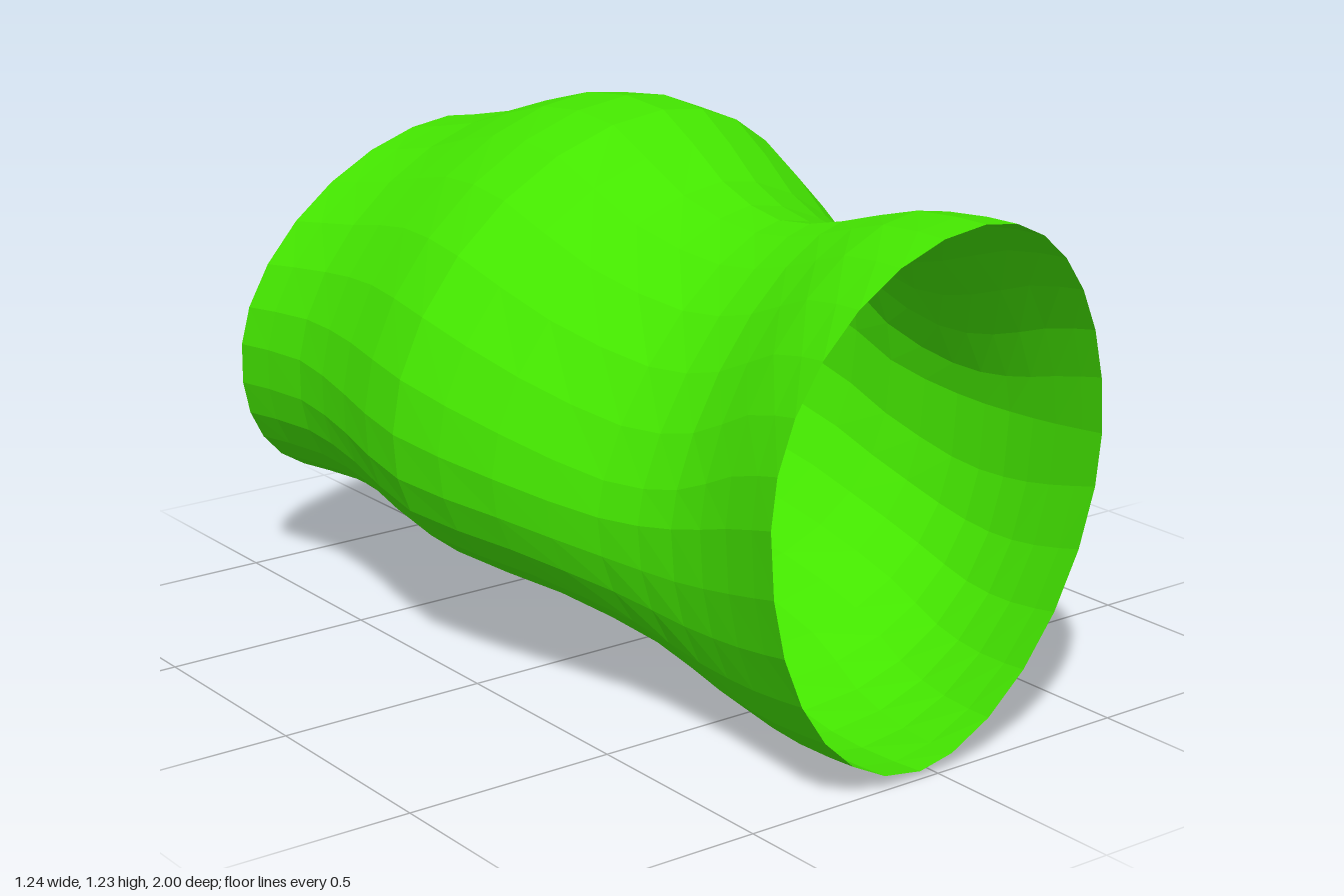
import * as THREE from 'three';

const RINGS = 16, SIDES = 28;

// Cross-sections from front to back:
// z, xMin, xMax, yMin, yMax, y of xMin, y of xMax, x of yMin, x of yMax,
// then roundness of the four quarters (+x top, -x top, -x bottom, +x bottom)
const SECTIONS = [
  [1.00, -0.462, 0.445, 0.02, 1.18, 0.64, 0.67, -0.05, 0.09, 2.15, 1.88, 2.1, 1.75],
  [0.80, -0.418, 0.505, 0.002, 1.172, 0.58, 0.63, -0.04, 0.08, 1.9, 1.78, 2.15, 1.98],
  [0.60, -0.405, 0.555, 0.02, 1.115, 0.52, 0.6, -0.04, 0.05, 1.68, 1.53, 2.08, 2.25],
  [0.40, -0.45, 0.578, 0.088, 1.08, 0.5, 0.59, -0.03, 0.04, 1.62, 1.52, 1.98, 2.5],
  [0.15, -0.552, 0.592, 0.155, 1.115, 0.54, 0.61, -0.05, 0.08, 1.78, 1.72, 2.08, 2.38],
  [-0.15, -0.62, 0.62, 0.188, 1.225, 0.58, 0.68, -0.1, 0.13, 2.08, 1.83, 2.3, 2.28],
  [-0.45, -0.575, 0.582, 0.235, 1.225, 0.6, 0.66, -0.15, 0.11, 2.05, 1.82, 2.32, 2.28],
  [-0.70, -0.55, 0.47, 0.23, 1.15, 0.62, 0.62, -0.17, 0.04, 1.95, 1.8, 2.25, 2.3],
  [-0.92, -0.59, 0.41, 0.22, 1.11, 0.62, 0.58, -0.2, 0, 1.9, 1.8, 2.2, 2.35],
];

// Smooth section at t in 0..1 (Catmull-Rom on every column)
function sectionAt(t) {
  const last = SECTIONS.length - 1;
  const i = Math.min(Math.floor(t * last), last - 1);
  const f = t * last - i;
  const row = (k) => SECTIONS[THREE.MathUtils.clamp(k, 0, last)];
  return SECTIONS[0].map((_, c) => {
    const [a, b, d, e] = [row(i - 1)[c], row(i)[c], row(i + 1)[c], row(i + 2)[c]];
    return b + 0.5 * f * (d - a + f * (2 * a - 5 * b + 4 * d - e + f * (3 * (b - d) + e - a)));
  });
}

// Point on a section: each quarter is its own superellipse
function pointOn(section, j) {
  const [z, x0, x1, y0, y1, yL, yR, xB, xT, ...round] = section;
  const quarter = Math.floor((j * 4) / SIDES);
  const angle = (j / SIDES) * Math.PI * 2;
  const right = quarter === 0 || quarter === 3;
  const top = quarter < 2;
  const power = 2 / round[quarter];
  const cx = top ? xT : xB, cy = right ? yR : yL;
  const x = cx + ((right ? x1 : x0) - cx) * Math.abs(Math.cos(angle)) ** power;
  const y = cy + ((top ? y1 : y0) - cy) * Math.abs(Math.sin(angle)) ** power;
  // the back opening is cut at a slant
  const slant = THREE.MathUtils.clamp(-z / 0.92, 0, 1);
  return [x, y, z + slant * (0.075 - 0.1 * x + 0.165 * (y - 1.1))];
}

function tubeGeometry() {
  const positions = [], indices = [];
  for (let i = 0; i <= RINGS; i++) {
    const section = sectionAt(i / RINGS);
    for (let j = 0; j < SIDES; j++) positions.push(...pointOn(section, j));
  }
  for (let i = 0; i < RINGS; i++) {
    for (let j = 0; j < SIDES; j++) {
      const k = (j + 1) % SIDES;
      const a = i * SIDES + j, b = a + SIDES, c = i * SIDES + k, d = c + SIDES;
      indices.push(a, b, c, b, d, c);
    }
  }
  const geometry = new THREE.BufferGeometry();
  geometry.setAttribute('position', new THREE.Float32BufferAttribute(positions, 3));
  geometry.setIndex(indices);
  geometry.computeVertexNormals();
  return geometry;
}

export function createModel() {
  const group = new THREE.Group();
  group.name = 'openTube';
  const material = new THREE.MeshStandardMaterial({
    color: 0x44e600, flatShading: true, side: THREE.DoubleSide,
  });
  // Thin tube wall, open at both ends
  const wall = new THREE.Mesh(tubeGeometry(), material);
  wall.name = 'tubeWall';
  group.add(wall);
  return group;
}
